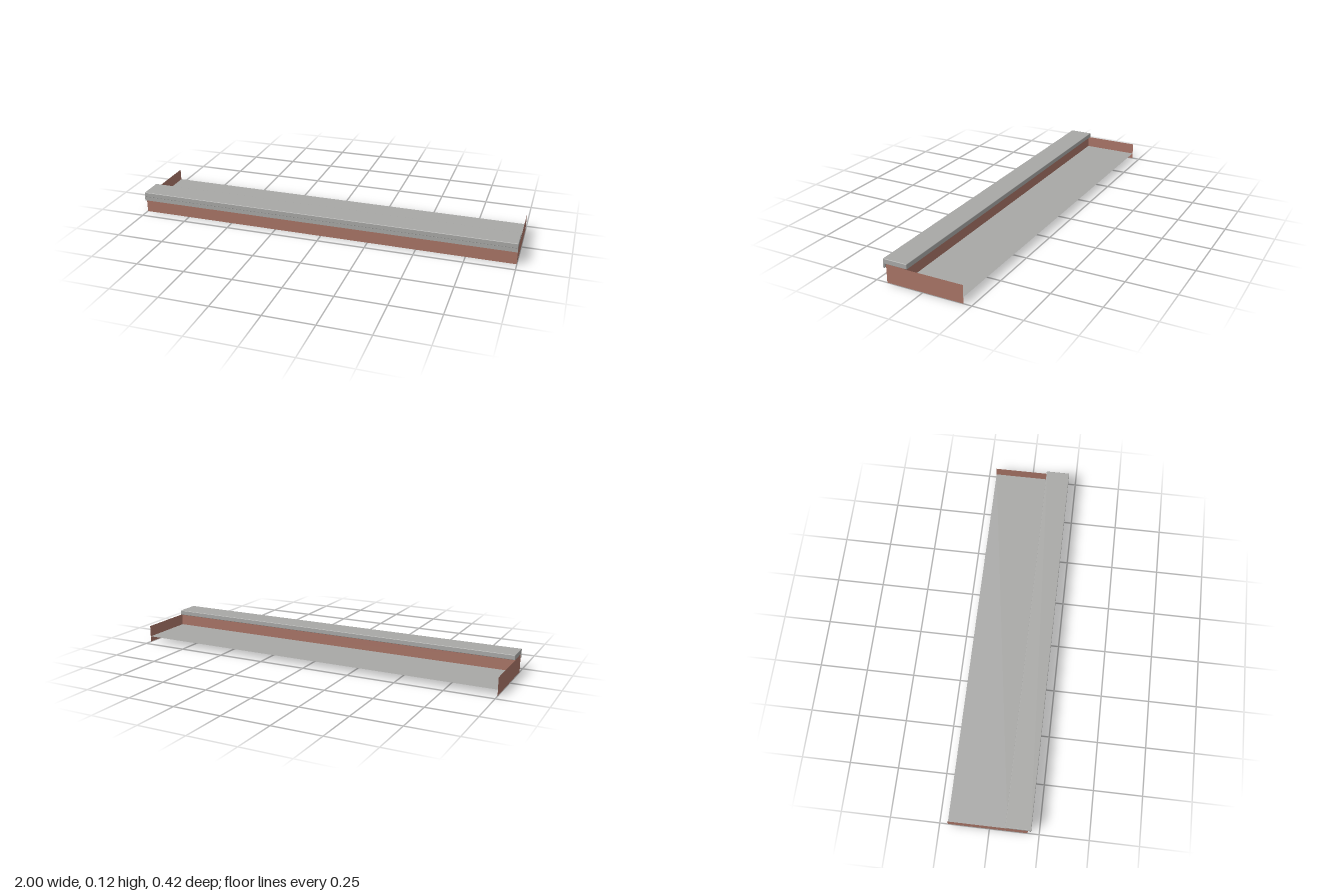
import * as THREE from 'three';
import { RoundedBoxGeometry } from 'three/addons/geometries/RoundedBoxGeometry.js';

export function createModel() {
  const group = new THREE.Group();
  const brick = new THREE.MeshStandardMaterial({ color: 0xa87466 });
  brick.name = 'brick';
  brick.side = THREE.DoubleSide;
  const stone = new THREE.MeshStandardMaterial({ color: 0xa8a8a6 });
  stone.name = 'grey stone';
  stone.side = THREE.DoubleSide;

  const add = (name, geometry, material, x, y, z) => {
    const mesh = new THREE.Mesh(geometry, material);
    mesh.name = name;
    mesh.position.set(x, y, z);
    group.add(mesh);
    return mesh;
  };

  // Thick parapet wall along the front
  add('frontWall', new THREE.BoxGeometry(1.998, 0.097, 0.1), brick, 0, 0.0485, 0.142);

  // Thin end walls, running back from the parapet
  for (const side of [-1, 1]) {
    const wall = add(side > 0 ? 'leftEndWall' : 'rightEndWall',
      new THREE.PlaneGeometry(0.4, 0.091), brick, side * 0.9995, 0.0455, -0.008);
    wall.rotation.y = side * Math.PI / 2;
  }

  // Flat roof sheet between the end walls
  const deck = add('roofDeck', new THREE.PlaneGeometry(1.998, 0.3), stone, 0, 0.031, -0.058);
  deck.rotation.x = -Math.PI / 2;

  // Coping with softened edges and a hanging drip lip
  add('coping', new RoundedBoxGeometry(2, 0.026, 0.128, 3, 0.003), stone, 0, 0.105, 0.144);
  add('dripLip', new THREE.BoxGeometry(2, 0.021, 0.008), stone, 0, 0.0825, 0.204);

  return group;
}
